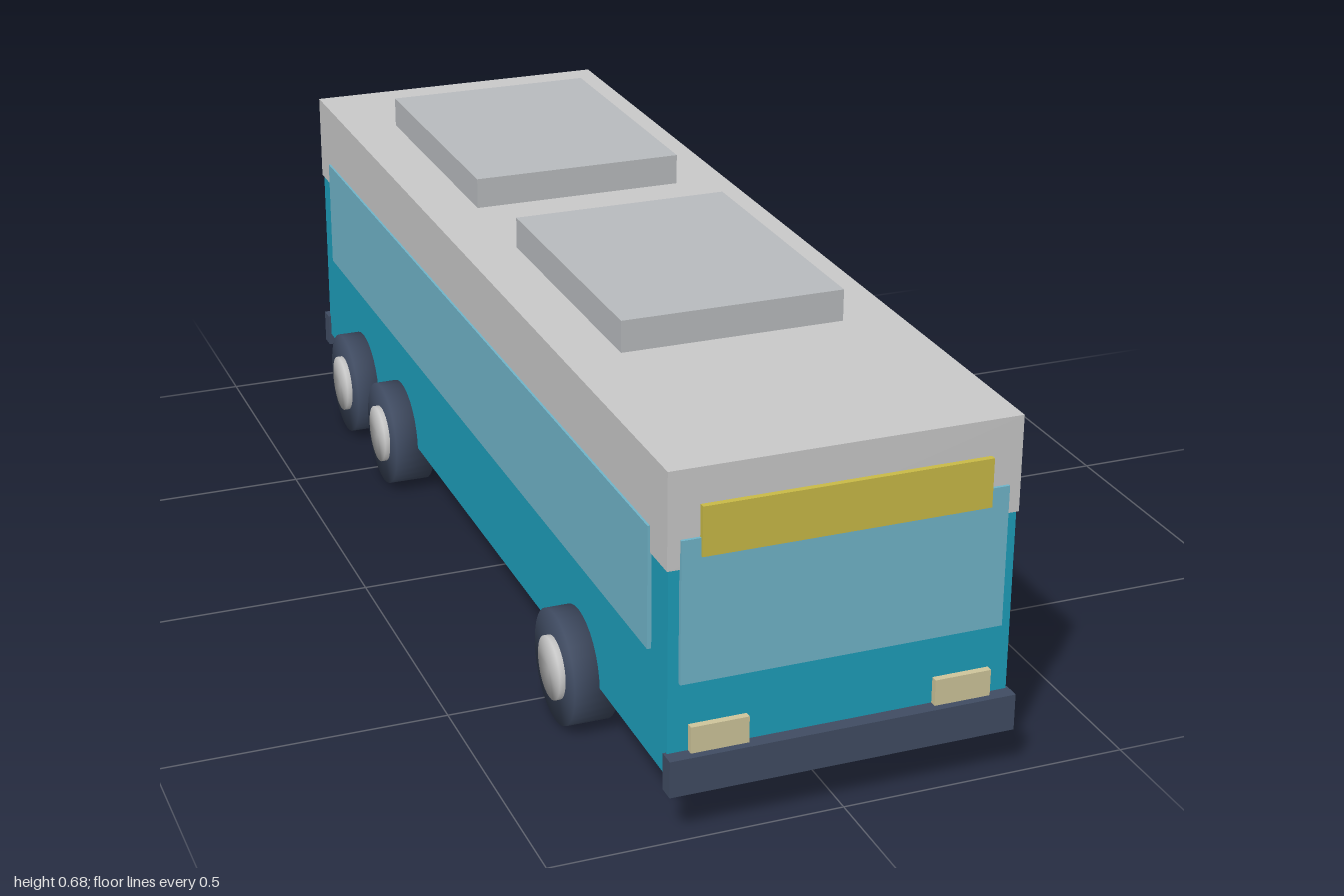
import * as THREE from 'three';

export function createModel() {
  const bus = new THREE.Group();
  bus.name = 'bus';

  const mat = (color) => new THREE.MeshStandardMaterial({ color });
  const grey = mat(0xcccccc);
  const teal = mat(0x1ea0bd);
  const glass = mat(0x72b7cc);
  const dark = mat(0x414d64);
  const unitGrey = mat(0xbbbec1);
  const yellow = mat(0xccbd48);
  const cream = mat(0xd1c89d);
  const red = mat(0xc85858);

  // Box given by its extents on each axis
  function box(name, material, [x0, x1], [y0, y1], [z0, z1]) {
    const mesh = new THREE.Mesh(new THREE.BoxGeometry(x1 - x0, y1 - y0, z1 - z0), material);
    mesh.position.set((x0 + x1) / 2, (y0 + y1) / 2, (z0 + z1) / 2);
    mesh.name = name;
    bus.add(mesh);
  }

  // Disc with smooth normals rolling over its rim, axis along x
  function disc(name, material, radius, xIn, xOut) {
    const profile = [[0, xIn], [radius, xIn], [radius, xOut], [0, xOut]];
    const geo = new THREE.LatheGeometry(profile.map(([r, h]) => new THREE.Vector2(r, h)), 32);
    geo.rotateZ(-Math.PI / 2);
    const mesh = new THREE.Mesh(geo, material);
    mesh.name = name;
    return mesh;
  }

  // Body shell and roof
  box('body', teal, [-0.293, 0.293], [0.103, 0.47], [-0.975, 0.975]);
  box('roof', grey, [-0.296, 0.296], [0.46, 0.625], [-0.978, 0.978]);

  // Roof air units
  box('frontRoofUnit', unitGrey, [-0.198, 0.198], [0.62, 0.681], [0.0, 0.525]);
  box('rearRoofUnit', unitGrey, [-0.198, 0.198], [0.62, 0.681], [-0.753, -0.223]);

  // Windows
  box('windshield', glass, [-0.275, 0.275], [0.265, 0.51], [0.96, 0.983]);
  box('rearWindow', glass, [-0.275, 0.275], [0.265, 0.51], [-0.983, -0.96]);
  box('leftWindow', glass, [0.28, 0.3], [0.294, 0.505], [-0.907, 0.907]);
  box('rightWindow', glass, [-0.3, -0.28], [0.294, 0.505], [-0.907, 0.907]);

  // Doors on the left side
  box('frontDoor', dark, [0.28, 0.306], [0.082, 0.477], [0.38, 0.685]);
  box('middleDoor', dark, [0.28, 0.306], [0.082, 0.477], [-0.553, -0.243]);

  // Destination board
  box('destinationBoard', yellow, [-0.243, 0.243], [0.48, 0.564], [0.96, 0.988]);

  // Bumpers
  box('frontBumper', dark, [-0.298, 0.298], [0.08, 0.144], [0.97, 1.0]);
  box('rearBumper', dark, [-0.298, 0.298], [0.08, 0.144], [-1.0, -0.97]);

  // Lamps and wheels, mirrored across the centre
  for (const side of [1, -1]) {
    const label = side > 0 ? 'left' : 'right';
    const span = side > 0 ? [0.16, 0.258] : [-0.258, -0.16];
    box(label + 'Headlight', cream, span, [0.14, 0.19], [0.96, 0.987]);
    box(label + 'TailLight', red, span, [0.14, 0.19], [-0.987, -0.96]);

    for (const [axle, z] of [['Front', 0.577], ['Middle', -0.44], ['Rear', -0.71]]) {
      const wheel = new THREE.Group();
      wheel.name = label + axle + 'Wheel';
      wheel.add(disc('tyre', dark, 0.1, 0.26, 0.336));
      wheel.add(disc('hub', grey, 0.055, 0.3, 0.346));
      wheel.position.set(0, 0.1, z);
      if (side < 0) wheel.rotation.y = Math.PI;
      bus.add(wheel);
    }
  }

  return bus;
}
